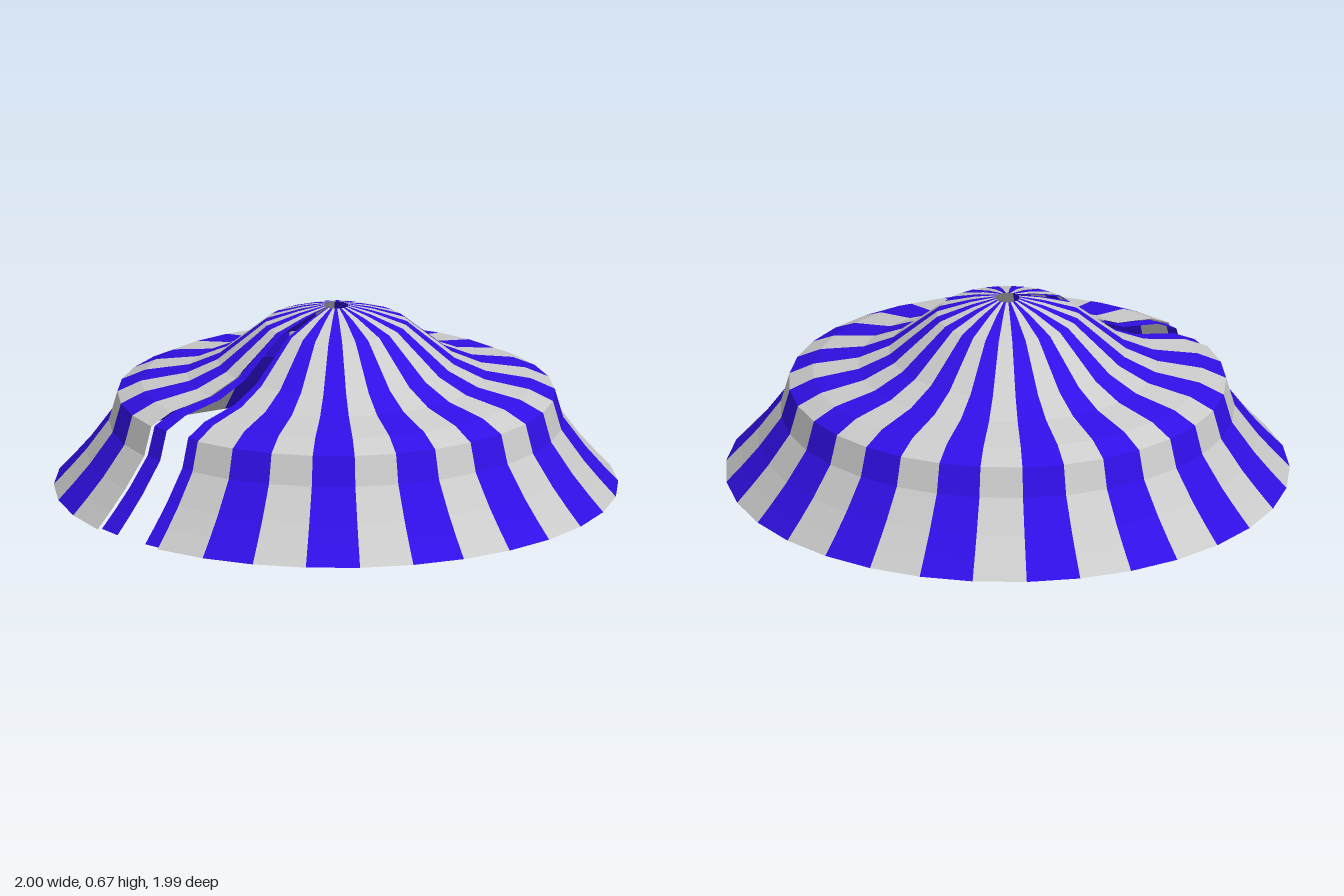
import * as THREE from 'three';
import { mergeGeometries } from 'three/addons/utils/BufferGeometryUtils.js';

// Canopy profile from the hem up to the open crown: [radius, height]
const PROFILE = [
  [1, 0], [0.945, 0.06], [0.885, 0.13], [0.805, 0.24], [0.775, 0.345],
  [0.69, 0.385], [0.53, 0.415], [0.42, 0.465], [0.31, 0.555],
  [0.25, 0.604], [0.13, 0.645], [0.043, 0.667],
];

const PANELS = 31;
const START = 8.4; // degrees from the front, towards +x
const STEP = 11.02;

// One cloth panel between two angles, flat across its width
function panel(fromDeg, toDeg, scale = 1) {
  const points = PROFILE.map(([r, y]) => new THREE.Vector2(r * scale, y));
  const rad = THREE.MathUtils.degToRad;
  return new THREE.LatheGeometry(points, 1, rad(fromDeg), rad(toDeg - fromDeg));
}

function cloth(name, geometries, color) {
  const material = new THREE.MeshStandardMaterial({
    color, flatShading: true, side: THREE.DoubleSide,
  });
  const mesh = new THREE.Mesh(mergeGeometries(geometries), material);
  mesh.name = name;
  return mesh;
}

export function createModel() {
  const group = new THREE.Group();
  group.name = 'tentCanopy';

  // Alternating stripes, grey on both sides of the entrance
  const grey = [], blue = [];
  for (let i = 0; i < PANELS; i++) {
    const a = START + i * STEP;
    (i % 2 ? blue : grey).push(panel(a, a + STEP));
  }

  // Narrow, slightly inset flaps either side of the front slit
  const end = START + PANELS * STEP;
  const flaps = [panel(4.1, START, 0.982), panel(end, 355.6, 0.982)];

  group.add(
    cloth('greyStripes', grey, 0xcccccc),
    cloth('blueStripes', blue, 0x300fe6),
    cloth('entranceFlaps', flaps, 0x300fe6),
  );
  return group;
}
